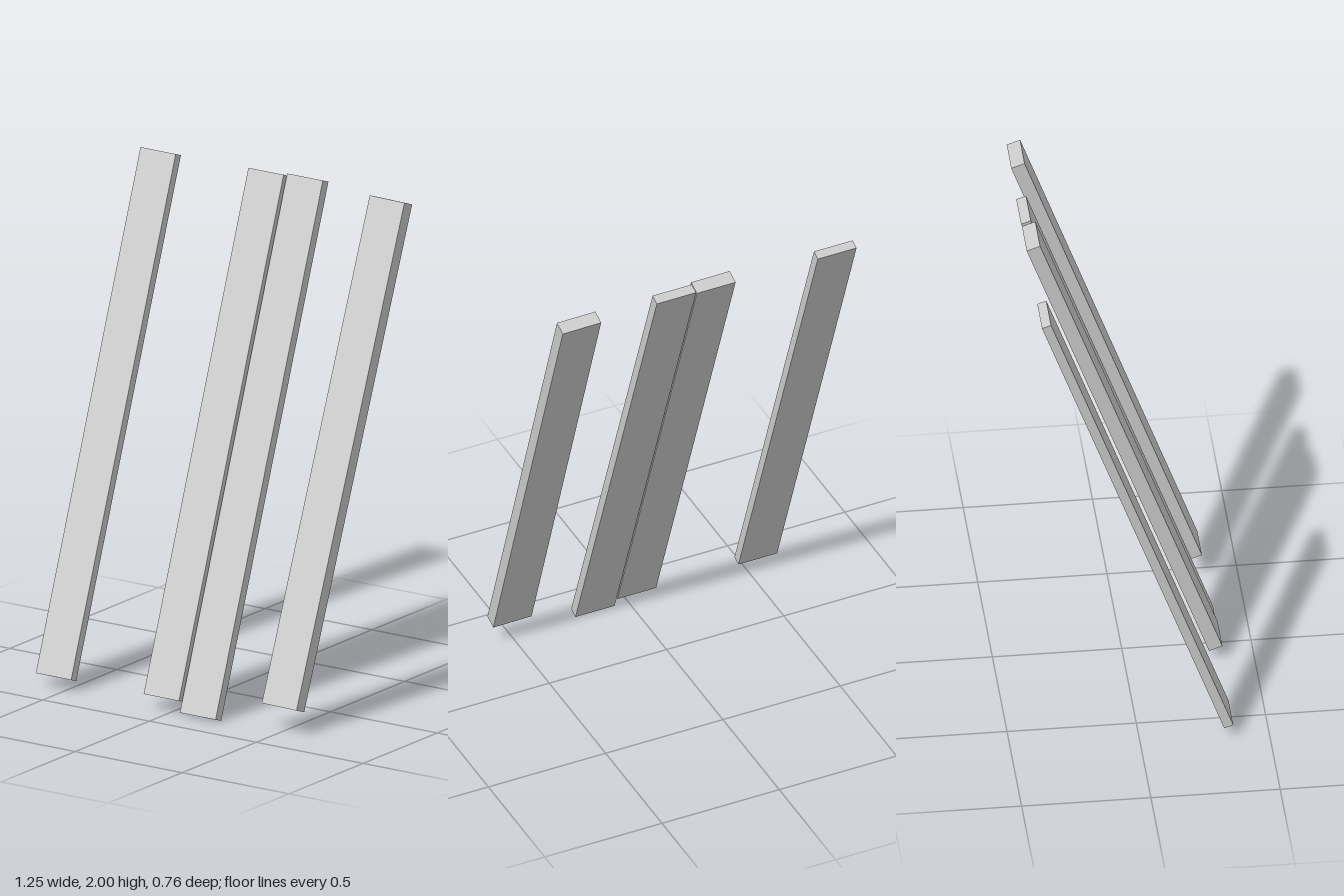
import * as THREE from 'three';

const material = new THREE.MeshStandardMaterial({ color: 0xcccccc, flatShading: true });

// Shared plane that the backs of all planks lie on, measured along its normal
const BACK = 0.32;

// centre x, bottom along the slope, width, length, thickness, twist in degrees
const planks = [
  { name: 'rightPlank', x: -0.5455, bottom: -0.074, width: 0.165, length: 2.061, depth: 0.037, twist: 0 },
  { name: 'middleRightPlank', x: -0.0295, bottom: -0.0725, width: 0.165, length: 2.062, depth: 0.055, twist: 0 },
  { name: 'middleLeftPlank', x: 0.1415, bottom: -0.116, width: 0.167, length: 2.113, depth: 0.04, twist: 0 },
  { name: 'leftPlank', x: 0.525, bottom: -0.02, width: 0.163, length: 1.995, depth: 0.055, twist: -0.9 },
];

export function createModel() {
  const model = new THREE.Group();
  model.name = 'leaningPlanks';

  // All planks lean back together
  const lean = new THREE.Group();
  lean.name = 'plankRow';
  lean.rotation.x = THREE.MathUtils.degToRad(-20);
  model.add(lean);

  for (const p of planks) {
    const plank = new THREE.Mesh(new THREE.BoxGeometry(p.width, p.length, p.depth), material);
    plank.name = p.name;
    plank.position.set(p.x, p.bottom + p.length / 2, BACK + p.depth / 2);
    plank.rotation.z = THREE.MathUtils.degToRad(p.twist);
    lean.add(plank);
  }
  return model;
}
